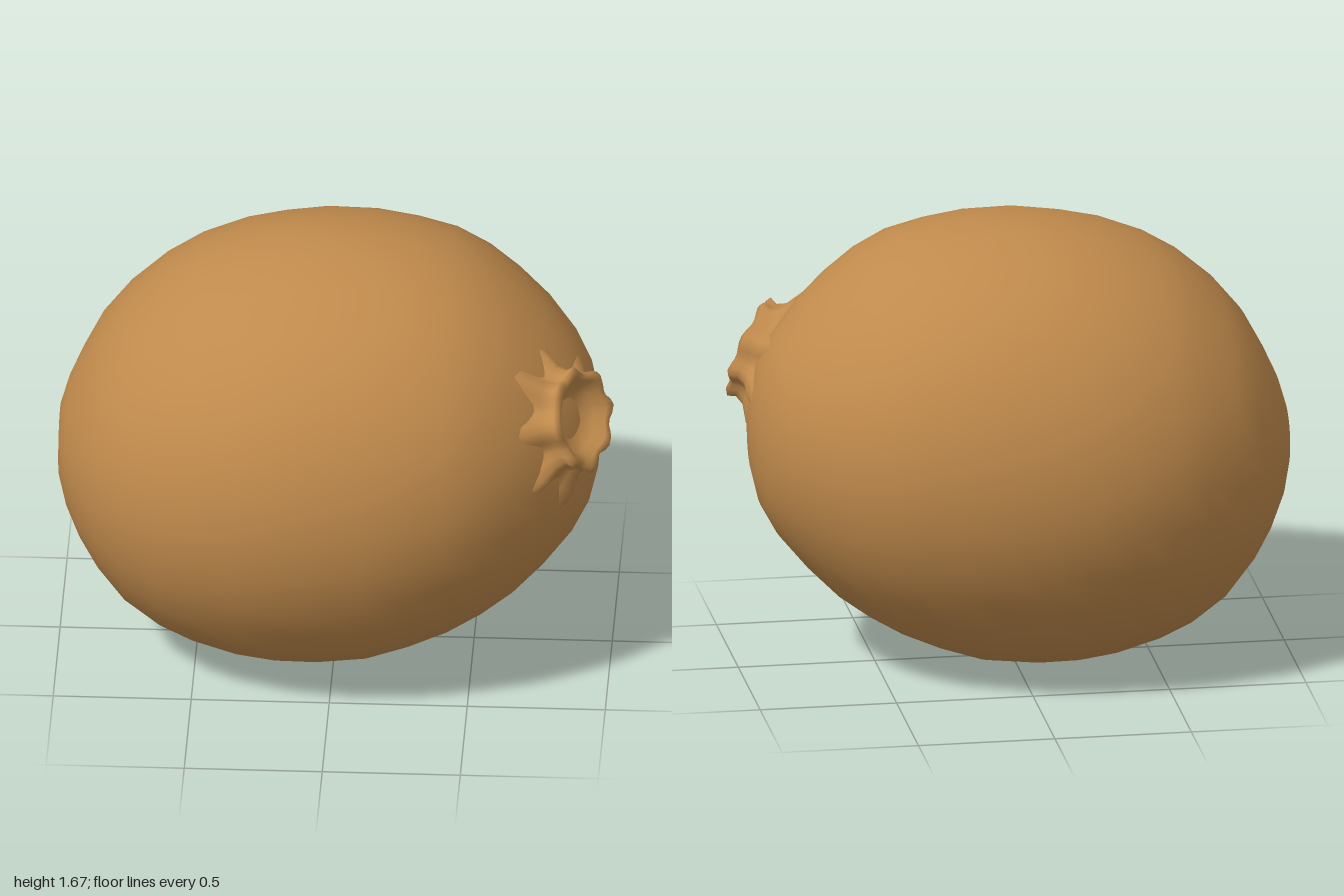
import * as THREE from 'three';

// Closed skin over a list of loops (all with the same point count), capped by fans at both ends.
function skin(loops, startPoint, endPoint, material, name) {
  const n = loops[0].length;
  const positions = [];
  const index = [];
  for (const loop of loops) for (const p of loop) positions.push(p.x, p.y, p.z);
  for (let i = 0; i < loops.length - 1; i++) {
    for (let j = 0; j < n; j++) {
      const a = i * n + j, b = i * n + (j + 1) % n;
      index.push(a, b, b + n, a, b + n, a + n);
    }
  }
  const addCap = (point, row, flip) => {
    if (!point) return;
    const c = positions.length / 3;
    positions.push(point.x, point.y, point.z);
    for (let j = 0; j < n; j++) {
      const a = row * n + j, b = row * n + (j + 1) % n;
      if (flip) index.push(c, b, a); else index.push(c, a, b);
    }
  };
  addCap(startPoint, 0, true);
  addCap(endPoint, loops.length - 1, false);
  const geometry = new THREE.BufferGeometry();
  geometry.setAttribute('position', new THREE.Float32BufferAttribute(positions, 3));
  geometry.setIndex(index);
  geometry.computeVertexNormals();
  const mesh = new THREE.Mesh(geometry, material);
  mesh.name = name;
  return mesh;
}

// Slightly lopsided fruit: elliptical sections along x
function makeBody(material) {
  // x, bottom, top, half width
  const stations = [
    [-1.0, 0.66, 0.92, 0.14], [-0.97, 0.55, 1.02, 0.25], [-0.92, 0.44, 1.13, 0.36],
    [-0.85, 0.33, 1.26, 0.48], [-0.75, 0.21, 1.38, 0.58], [-0.62, 0.12, 1.49, 0.67],
    [-0.5, 0.07, 1.56, 0.735], [-0.34, 0.025, 1.62, 0.785], [-0.2, 0.005, 1.65, 0.805],
    [-0.05, 0.003, 1.67, 0.813], [0.13, 0.022, 1.667, 0.803], [0.28, 0.07, 1.645, 0.77],
    [0.42, 0.13, 1.61, 0.73], [0.54, 0.2, 1.55, 0.67], [0.65, 0.28, 1.47, 0.59],
    [0.76, 0.39, 1.37, 0.49], [0.86, 0.51, 1.25, 0.36], [0.92, 0.62, 1.14, 0.24],
    [0.95, 0.74, 1.02, 0.12],
  ];
  const sides = 32;
  const loops = stations.map(([x, low, high, w]) => Array.from({ length: sides }, (_, j) => {
    const a = (j / sides) * Math.PI * 2;
    return new THREE.Vector3(x, (low + high) / 2 + Math.cos(a) * (high - low) / 2, Math.sin(a) * w);
  }));
  return skin(loops, new THREE.Vector3(-1.0, 0.79, 0), new THREE.Vector3(0.96, 0.88, 0), material, 'fruitBody');
}

// Crumpled crown: lobed rings that flare from the skin, fold over a rim and sink into a dimple
function makeCrown(material) {
  // radius, height, lobe strength
  const rings = [
    [0.3, -0.085, 0.1], [0.24, -0.025, 0.1], [0.19, 0.015, 0.07], [0.175, 0.05, 0.06],
    [0.185, 0.078, 0.07], [0.17, 0.092, 0.05], [0.145, 0.085, 0.03], [0.12, 0.045, 0.03],
    [0.07, 0.018, 0],
  ];
  const lobes = 8, sides = 48;
  const loops = rings.map(([r, h, k]) => Array.from({ length: sides }, (_, j) => {
    const a = (j / sides) * Math.PI * 2;
    const wave = Math.cos(a * lobes + 0.5 * Math.sin(a * 3)) + 0.4 * Math.sin(a * 3 + 1);
    const radius = r * (1 + k * wave);
    return new THREE.Vector3(Math.cos(a) * radius, Math.sin(a) * radius, h + 0.1 * k * wave);
  }));
  const crown = skin(loops, null, new THREE.Vector3(0, 0, 0.012), material, 'stemCrown');
  const outward = new THREE.Vector3(0.86, 0.32, 0.42).normalize();
  crown.quaternion.setFromUnitVectors(new THREE.Vector3(0, 0, 1), outward);
  crown.position.set(0.84, 1.085, 0.28);
  return crown;
}

export function createModel() {
  const model = new THREE.Group();
  model.name = 'fruit';
  const skinMaterial = new THREE.MeshStandardMaterial({ color: 0xc08a4c });
  skinMaterial.name = 'brownSkin';
  model.add(makeBody(skinMaterial), makeCrown(skinMaterial));
  return model;
}
